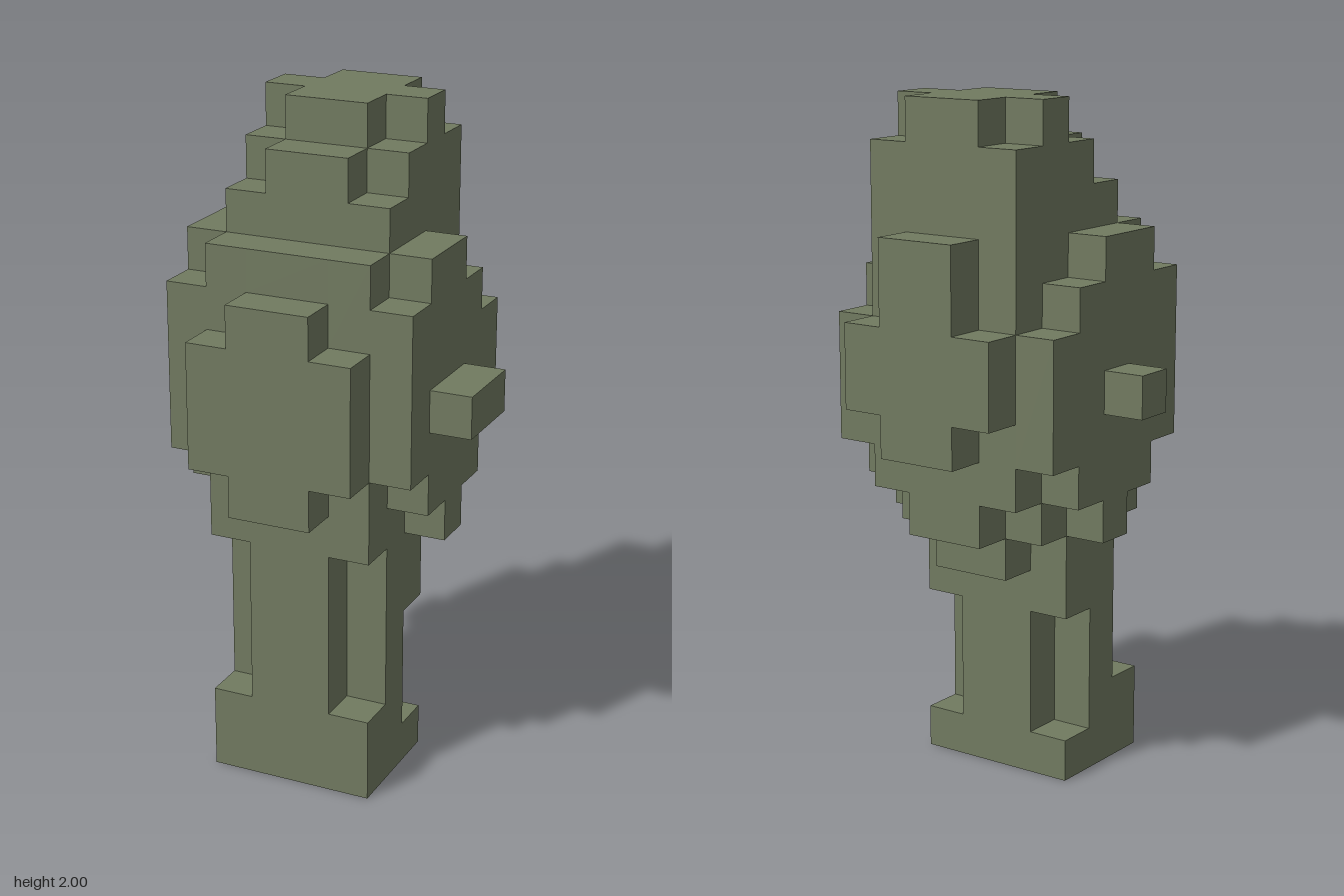
import * as THREE from 'three';

const U = 0.125; // edge of one block

// Side outlines as [z, y] corners in blocks; z runs 0 (back) to 7 (front)
const CENTRE = [
  [3, 0], [6, 0], [6, 7], [7, 7], [7, 12], [6, 12], [6, 13], [5, 13], [5, 15], [4, 15],
  [4, 16], [1, 16], [1, 13], [0, 13], [0, 8], [1, 8], [1, 6], [2, 6], [2, 5], [3, 5],
];
const MIDDLE = [
  [3, 0], [6, 0], [6, 2], [5, 2], [5, 6], [6, 6], [6, 8], [7, 8], [7, 11], [6, 11], [6, 13],
  [5, 13], [5, 14], [4, 14], [4, 15], [3, 15], [3, 16], [2, 16], [2, 15], [1, 15], [1, 11],
  [0, 11], [0, 9], [1, 9], [1, 7], [2, 7], [2, 6], [3, 6], [3, 4], [4, 4], [4, 1], [3, 1],
];
const OUTER = [
  [1, 8], [2, 8], [2, 7], [3, 7], [3, 6], [4, 6], [4, 7], [5, 7], [5, 8], [6, 8], [6, 12],
  [5, 12], [5, 13], [3, 13], [3, 12], [2, 12], [2, 11], [1, 11],
];
const knob = (front) => [[3, 9], [front, 9], [front, 10], [3, 10]];

export function createModel() {
  const group = new THREE.Group();
  const mossGreen = new THREE.MeshStandardMaterial({ color: 0x717a60 });
  mossGreen.name = 'mossGreen';

  // Upright slice with the given outline, from block x0 to x1
  const slice = (name, outline, x0, x1) => {
    const shape = new THREE.Shape(outline.map(([z, y]) => new THREE.Vector2((z - 3.5) * U, y * U)));
    const geometry = new THREE.ExtrudeGeometry(shape, { depth: (x1 - x0) * U, bevelEnabled: false });
    geometry.rotateY(-Math.PI / 2).translate(x1 * U, 0, 0);
    const mesh = new THREE.Mesh(geometry, mossGreen);
    mesh.name = name;
    group.add(mesh);
  };

  // Post, body and top, stepped outwards from the centre
  slice('centreSlice', CENTRE, -1, 1);
  slice('leftMiddleSlice', MIDDLE, 1, 2);
  slice('rightMiddleSlice', MIDDLE, -2, -1);
  slice('leftOuterSlice', OUTER, 2, 3);
  slice('rightOuterSlice', OUTER, -3, -2);

  // Side knobs, the left one twice as deep
  slice('leftKnob', knob(5), 3, 4);
  slice('rightKnob', knob(4), -4, -3);

  return group;
}
